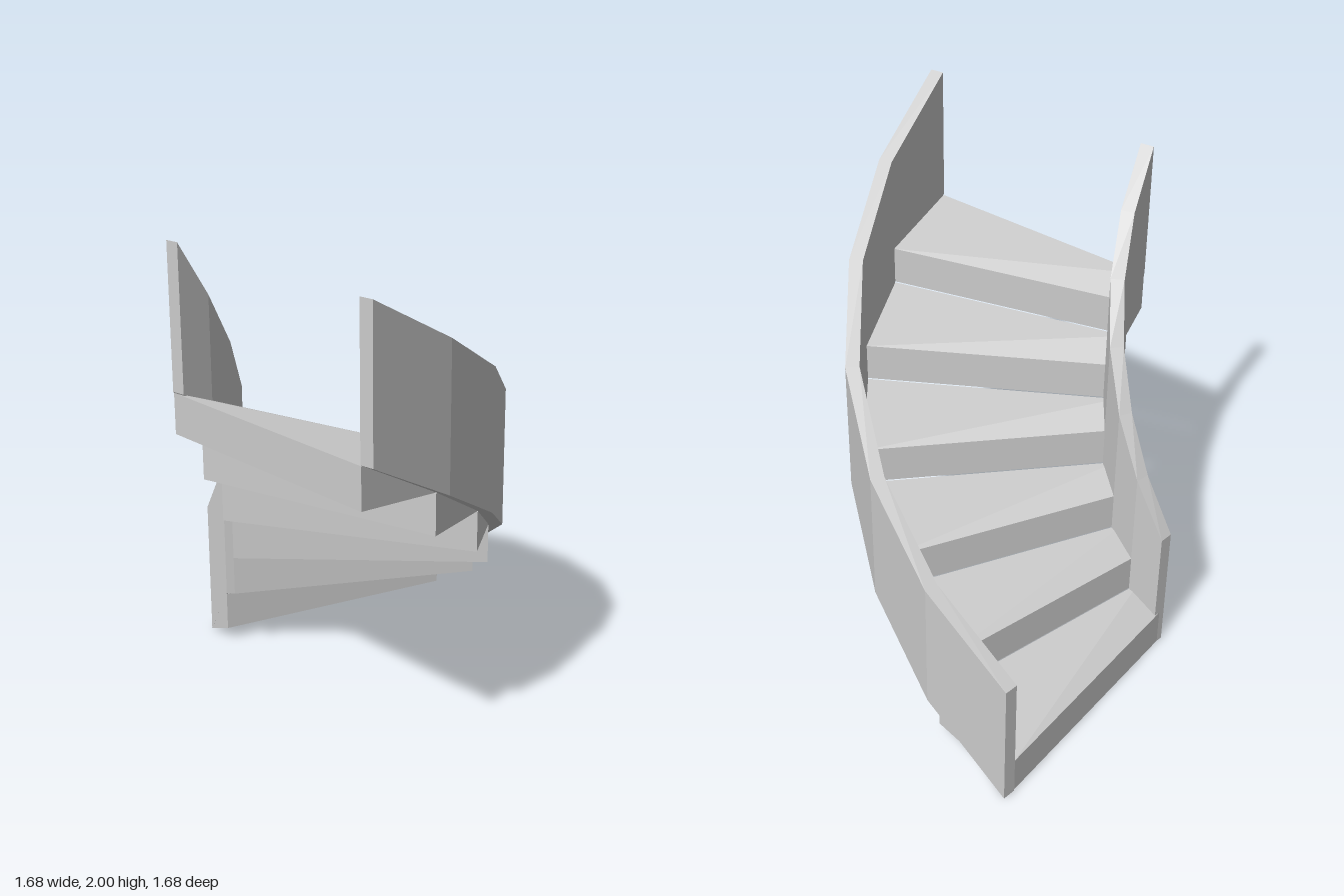
import * as THREE from 'three';

const STEPS = 6;
const TURN = Math.PI / 2 / STEPS;      // angle covered by one step
const RISE = 1.4 / STEPS;              // height gained per step
const CENTRE = -0.838;                 // x and z of the stair's axis
const material = new THREE.MeshStandardMaterial({ color: 0xcccccc, flatShading: true });

// Closed solid through four-cornered sections:
// inner bottom, outer bottom, outer top, inner top.
function loft(name, sections) {
  const positions = [];
  const quad = (a, b, c, d) => positions.push(...a, ...b, ...c, ...a, ...c, ...d);
  for (let i = 0; i < sections.length - 1; i++) {
    const s = sections[i], n = sections[i + 1];
    for (let k = 0; k < 4; k++) {
      const m = (k + 1) % 4;
      quad(s[k], s[m], n[m], n[k]);
    }
  }
  const first = sections[0], last = sections[sections.length - 1];
  quad(first[3], first[2], first[1], first[0]);
  quad(...last);
  const geometry = new THREE.BufferGeometry();
  geometry.setAttribute('position', new THREE.Float32BufferAttribute(positions, 3));
  geometry.computeVertexNormals();
  const mesh = new THREE.Mesh(geometry, material);
  mesh.name = name;
  return mesh;
}

// Upright rectangular section from two plan points
function section([xi, zi], [xo, zo], bottom, height) {
  const top = bottom + height;
  return [[xi, bottom, zi], [xo, bottom, zo], [xo, top, zo], [xi, top, zi]];
}

const polar = (radius, angle) =>
  [CENTRE + radius * Math.cos(angle), CENTRE + radius * Math.sin(angle)];

// Side wall: its ends are cut square to the first and last straight run
function wall(name, radius) {
  const sections = [];
  for (let i = 0; i <= STEPS; i++) {
    const angle = i * TURN;
    const cut = THREE.MathUtils.clamp(angle, TURN / 2, Math.PI / 2 - TURN / 2);
    const [x, z] = polar(radius, angle);
    const dx = 0.029 * Math.cos(cut), dz = 0.029 * Math.sin(cut);
    sections.push(section([x - dx, z - dz], [x + dx, z + dz], i * RISE, 0.6));
  }
  return loft(name, sections);
}

// Wedge-shaped tread, sloping up slightly along the climb
function step(i) {
  const ends = [0, 1].map((end) => {
    const angle = (i + end) * TURN;
    return section(polar(0.54, angle), polar(1.62, angle), i * RISE + end * RISE / 4, 0.17);
  });
  return loft('step' + (i + 1), ends);
}

export function createModel() {
  const model = new THREE.Group();
  model.name = 'curvedStaircase';
  model.add(wall('outerWall', 1.649), wall('innerWall', 0.569));
  const steps = new THREE.Group();
  steps.name = 'steps';
  for (let i = 0; i < STEPS; i++) steps.add(step(i));
  model.add(steps);
  return model;
}
